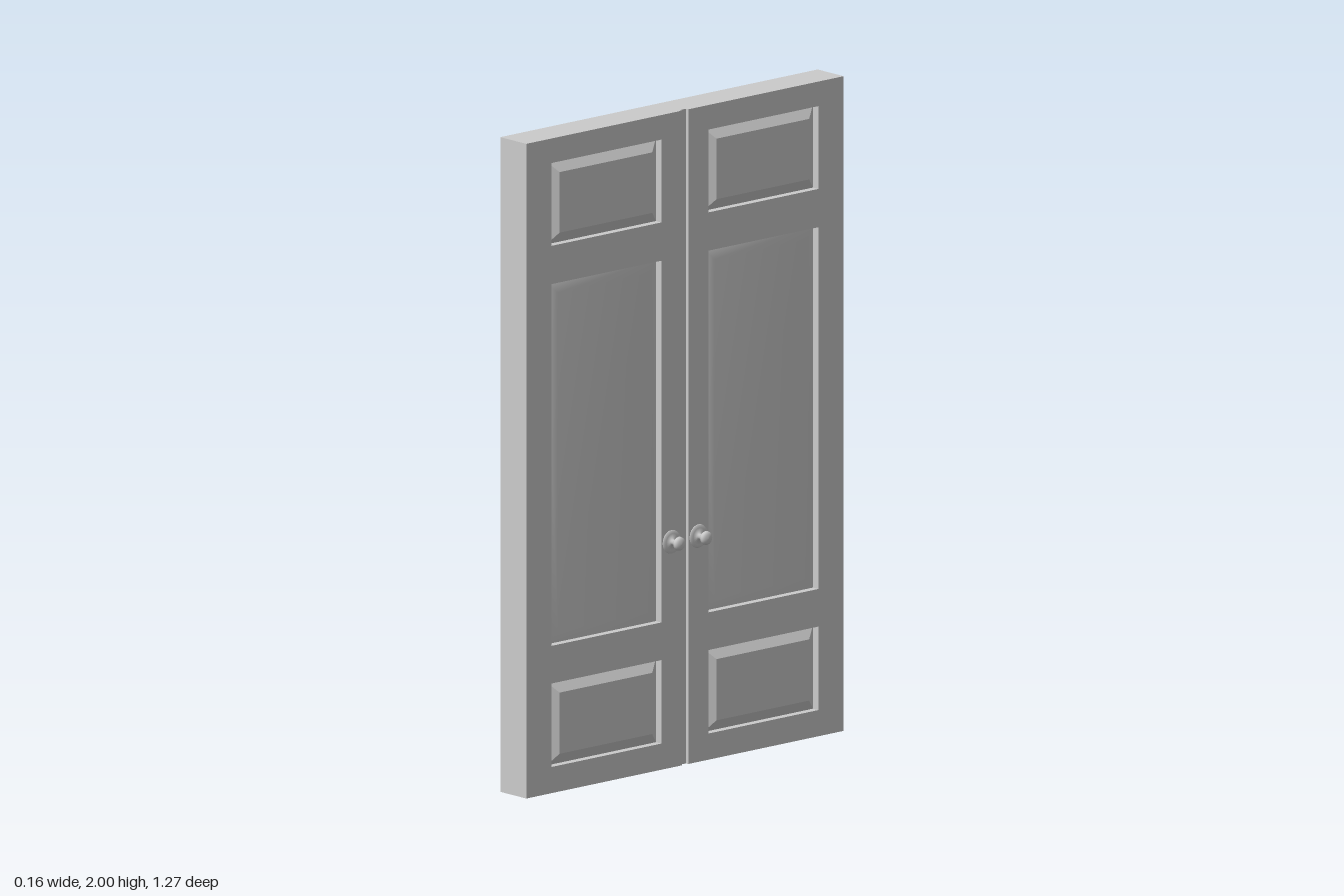
import * as THREE from 'three';

const FRONT = 0.035, BACK = -0.08, RECESS = 0.025, GROOVE = 0.013;
const HALF_W = 0.637, HEIGHT = 2;
const PANEL_IN = 0.095, PANEL_OUT = 0.535;

// rows of panels: bottom, top, bevel width, rise, smooth shading
const ROWS = [
  { name: 'lowerPanel', y0: 0.08, y1: 0.335, bevel: 0.034, rise: 0.021, smooth: false },
  { name: 'middlePanel', y0: 0.45, y1: 1.555, bevel: 0.034, rise: 0.012, smooth: true },
  { name: 'upperPanel', y0: 1.672, y1: 1.925, bevel: 0.034, rise: 0.021, smooth: false },
];

const material = new THREE.MeshStandardMaterial({ color: 0xcccccc });

function add(parent, name, geometry, x = 0, y = 0, z = 0) {
  const mesh = new THREE.Mesh(geometry, material);
  mesh.name = name;
  mesh.position.set(x, y, z);
  parent.add(mesh);
  return mesh;
}

function rectangle(PathType, x0, y0, x1, y1) {
  const path = new PathType();
  path.moveTo(x0, y0);
  path.lineTo(x1, y0);
  path.lineTo(x1, y1);
  path.lineTo(x0, y1);
  path.closePath();
  return path;
}

// raised field: outer rectangle at z = 0, bevelled up to an inner one
function fieldedPanel(w, h, bevel, rise, smooth) {
  const points = [];
  for (const [inset, z] of [[0, 0], [bevel, rise]]) {
    const a = w / 2 - inset, b = h / 2 - inset;
    points.push(-a, -b, z, a, -b, z, a, b, z, -a, b, z);
  }
  const index = [4, 5, 6, 4, 6, 7];
  for (let i = 0; i < 4; i++) {
    const j = (i + 1) % 4;
    index.push(i, j, j + 4, i, j + 4, i + 4);
  }
  let geometry = new THREE.BufferGeometry();
  geometry.setAttribute('position', new THREE.Float32BufferAttribute(points, 3));
  geometry.setIndex(index);
  if (!smooth) geometry = geometry.toNonIndexed();
  geometry.computeVertexNormals();
  return geometry;
}

// rosette, neck and chamfered head, turned about the outward axis
function knobGeometry() {
  const profile = [
    [0.036, 0], [0.035, 0.003], [0.026, 0.005], [0.009, 0.006], [0.009, 0.026],
    [0.018, 0.027], [0.021, 0.032], [0.02, 0.039], [0.013, 0.045], [0, 0.046],
  ].map(([r, y]) => new THREE.Vector2(r, y));
  const lathe = new THREE.LatheGeometry(profile, 20);
  lathe.rotateX(Math.PI / 2);
  return lathe;
}

export function createModel() {
  const model = new THREE.Group();
  model.name = 'doubleDoor';

  // built facing +z, then turned to face +x
  const door = new THREE.Group();
  door.name = 'door';
  door.rotation.y = Math.PI / 2;
  model.add(door);

  // solid backing behind both leaves
  const floor = FRONT - RECESS;
  add(door, 'backing', new THREE.BoxGeometry(HALF_W * 2, HEIGHT, floor - BACK),
    0, HEIGHT / 2, (floor + BACK) / 2);

  // floor of the groove between the leaves
  const strip = RECESS - 0.01;
  add(door, 'centreGroove', new THREE.BoxGeometry(GROOVE * 2, HEIGHT, strip),
    0, HEIGHT / 2, floor + strip / 2);

  for (const side of [-1, 1]) {
    const leaf = new THREE.Group();
    leaf.name = side < 0 ? 'leftLeaf' : 'rightLeaf';
    door.add(leaf);

    // frame with a hole for every panel
    const span = (a, b) => [Math.min(side * a, side * b), Math.max(side * a, side * b)];
    const [x0, x1] = span(GROOVE, HALF_W);
    const [p0, p1] = span(PANEL_IN, PANEL_OUT);
    const shape = rectangle(THREE.Shape, x0, 0, x1, HEIGHT);
    for (const r of ROWS) shape.holes.push(rectangle(THREE.Path, p0, r.y0, p1, r.y1));
    add(leaf, 'frame', new THREE.ExtrudeGeometry(shape, { depth: RECESS, bevelEnabled: false }),
      0, 0, floor);

    // raised panels sitting in the recesses
    for (const r of ROWS) {
      add(leaf, r.name, fieldedPanel(p1 - p0, r.y1 - r.y0, r.bevel, r.rise, r.smooth),
        (p0 + p1) / 2, (r.y0 + r.y1) / 2, floor + 0.001);
    }

    add(leaf, 'knob', knobGeometry(), side * 0.054, 0.69, FRONT);
  }
  return model;
}
